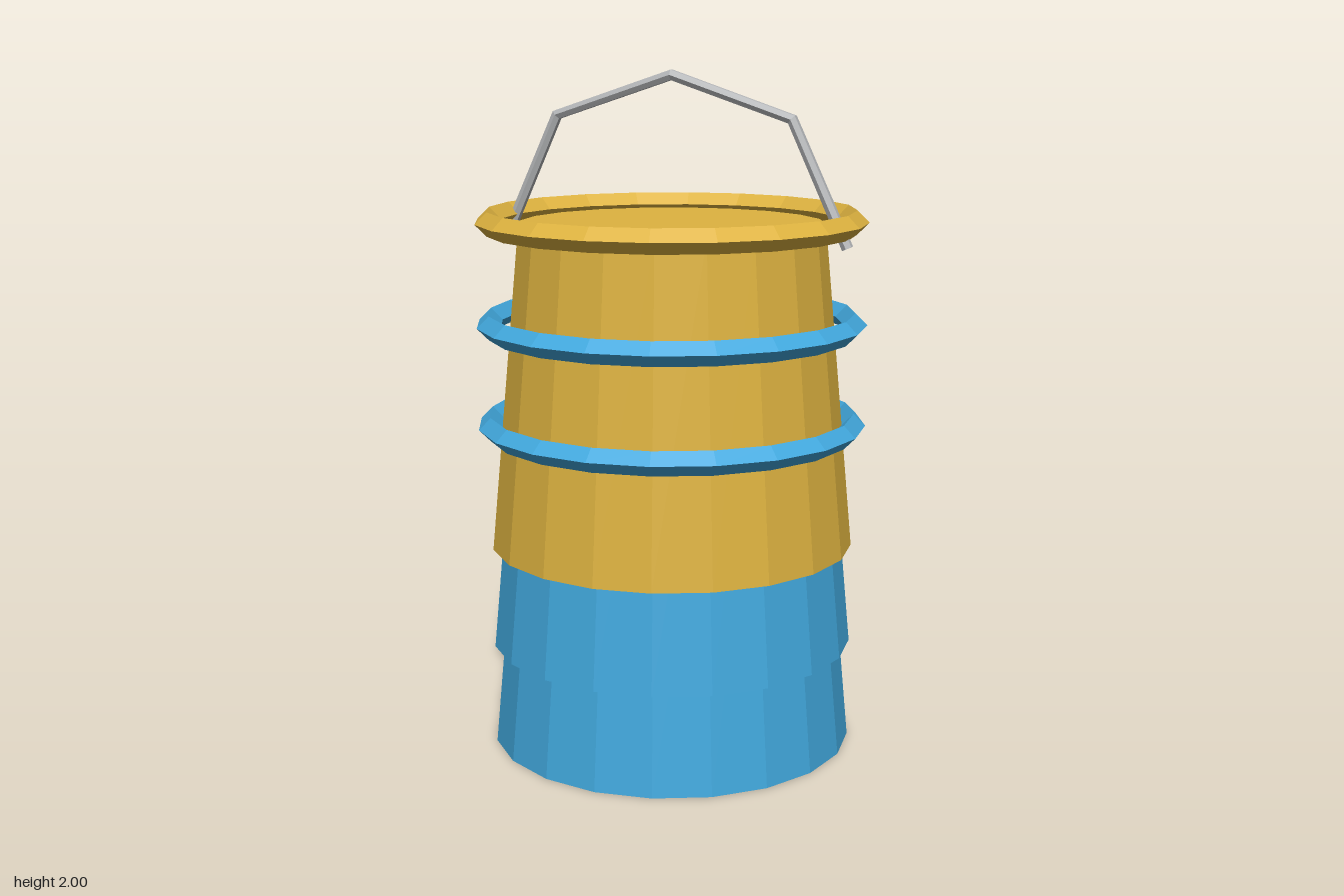
import * as THREE from 'three';

export function createModel() {
  const model = new THREE.Group();
  model.name = 'stackedPails';

  const flat = (name, color) => {
    const m = new THREE.MeshStandardMaterial({ color, flatShading: true });
    m.name = name;
    return m;
  };
  const yellow = flat('yellow', 0xdeb340);
  const blue = flat('blue', 0x42a9de);
  const metal = flat('metal', 0xb4b6b8);
  metal.side = THREE.DoubleSide;

  const SIDES = 20;
  const add = (name, geometry, material, y = 0) => {
    const mesh = new THREE.Mesh(geometry, material);
    mesh.name = name;
    mesh.position.y = y;
    model.add(mesh);
    return mesh;
  };

  // Three nested tapered pails, each raised 0.3 above the one below
  const HEIGHT = 0.96;
  const pail = new THREE.CylinderGeometry(0.45, 0.54, HEIGHT, SIDES);
  [['lowerPail', blue], ['middlePail', blue], ['topPail', yellow]].forEach(([name, mat], i) =>
    add(name, pail, mat, HEIGHT / 2 + i * 0.3));

  // Diamond-section rims standing clear of the walls
  const rim = new THREE.TorusGeometry(0.54, 0.035, 4, SIDES).rotateX(Math.PI / 2);
  [['lowerRim', blue], ['middleRim', blue], ['topRim', yellow]].forEach(([name, mat], i) =>
    add(name, rim, mat, 0.965 + i * 0.3));

  // Bent wire handle in four straight lengths
  const path = new THREE.CatmullRomCurve3(
    [[-0.54, 1.508], [-0.365, 1.868], [0, 1.983], [0.365, 1.868], [0.54, 1.508]]
      .map(([x, y]) => new THREE.Vector3(x, y, 0)));
  add('handle', new THREE.TubeGeometry(path, 4, 0.017, 6), metal);

  return model;
}
